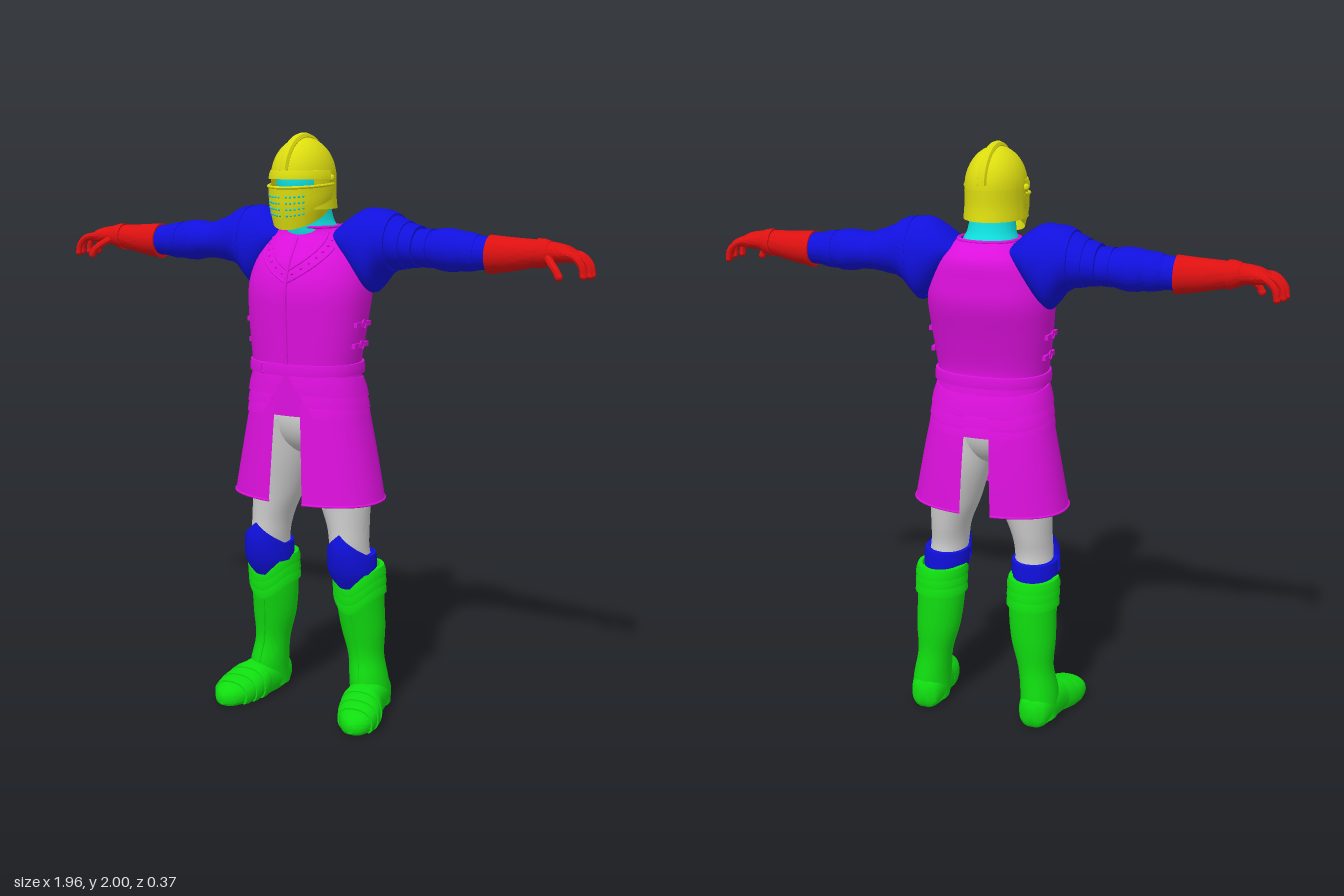
import * as THREE from 'three';
import { mergeGeometries, toCreasedNormals } from 'three/addons/utils/BufferGeometryUtils.js';

const GREY = 0xcccccc, BLUE = 0x1010dd, RED = 0xdd1010, GREEN = 0x10dd10, PURPLE = 0xdd10dd, YELLOW = 0xdddd10, CYAN = 0x10dddd;
const PI = Math.PI;

// A section is [t, centreX, centreZ, radiusX, radiusZ]; sections blend smoothly along t
function sample(rows, t) {
  let i = 0;
  while (i < rows.length - 2 && t > rows[i + 1][0]) i++;
  const a = rows[i], b = rows[i + 1], h = b[0] - a[0], u = (t - a[0]) / h;
  const slope = (j, c) => {
    const p = rows[Math.max(j - 1, 0)], q = rows[Math.min(j + 1, rows.length - 1)];
    return (q[c] - p[c]) / (q[0] - p[0]);
  };
  return a.map((v, c) => c === 0 ? t
    : v * (1 + 2 * u) * (1 - u) ** 2 + b[c] * u * u * (3 - 2 * u) + h * (slope(i, c) * u * (1 - u) ** 2 + slope(i + 1, c) * u * u * (u - 1)));
}

// Point on a rounded-box-like ring; angle 0 is the front
function ringPoint([t, cx, cz, rx, rz], a, p = 2) {
  const f = v => Math.sign(v) * Math.abs(v) ** (2 / p);
  return new THREE.Vector3(cx + rx * f(Math.sin(a)), t, cz + rz * f(Math.cos(a)));
}

function loft(rows, { sharp = false, n = 40, p = 2, range = null, warp = null, cap = false } = {}) {
  const list = [];
  if (sharp) list.push(...rows);
  else {
    for (let i = 0; i < rows.length - 1; i++)
      for (let k = 0; k < 4; k++) list.push(sample(rows, rows[i][0] + (rows[i + 1][0] - rows[i][0]) * k / 4));
    list.push(rows[rows.length - 1]);
  }
  const pos = [], idx = [], m = range ? n + 1 : n;
  for (const r of list) {
    const [a0, a1] = range ? range(r[0]) : [-PI, PI];
    for (let j = 0; j < m; j++) {
      const a = a0 + (a1 - a0) * j / n, v = ringPoint(r, a, p);
      if (warp) warp(v, a);
      pos.push(v.x, v.y, v.z);
    }
  }
  for (let i = 0; i < list.length - 1; i++)
    for (let j = 0; j < n; j++) {
      const k = (j + 1) % m, a = i * m + j, b = i * m + k, c = a + m, d = b + m;
      idx.push(a, b, d, a, d, c);
    }
  if (cap) for (const e of [0, list.length - 1]) {
    const r = list[e], id = pos.length / 3;
    pos.push(r[1], r[0], r[2]);
    for (let j = 0; j < n; j++) {
      const a = e * m + j, b = e * m + (j + 1) % m;
      e ? idx.push(id, a, b) : idx.push(id, b, a);
    }
  }
  const g = new THREE.BufferGeometry();
  g.setAttribute('position', new THREE.Float32BufferAttribute(pos, 3));
  g.setIndex(idx);
  return g;
}

// Raised plate hugging a lofted surface between t0 and t1
function lame(rows, t0, t1, g0, g1, o = {}) {
  const at = (t, g, dt = 0) => { const r = sample(rows, t); return [t + dt, r[1], r[2], r[3] + g, r[4] + g]; };
  return loft([at(t0, -0.012, 0.001), at(t0, g0), at((t0 + t1) / 2, (g0 + g1) / 2 + 0.002), at(t1, g1), at(t1, -0.012, 0.001)], { ...o, sharp: true });
}

const tube = (pts, r, seg = 24) => new THREE.TubeGeometry(new THREE.CatmullRomCurve3(pts), seg, r, 8);
const dots = (pts, r) => mergeGeometries(pts.map(p => new THREE.SphereGeometry(r, 8, 6).translate(p.x, p.y, p.z)));
const steps = (n, f) => Array.from({ length: n }, (_, i) => f(i / (n - 1)));
const V = (x, y, z) => new THREE.Vector3(x, y, z);

export function createModel() {
  const model = new THREE.Group();
  const add = (name, geo, color) => {
    const mesh = new THREE.Mesh(toCreasedNormals(geo, 0.7), new THREE.MeshStandardMaterial({ color, side: THREE.DoubleSide }));
    mesh.name = name;
    model.add(mesh);
  };
  const pair = (name, geo, color) => {
    const m = geo.clone().scale(-1, 1, 1), ix = m.index.array;
    for (let i = 0; i < ix.length; i += 3) [ix[i], ix[i + 1]] = [ix[i + 1], ix[i]];
    add(name + 'Left', geo, color);
    add(name + 'Right', m, color);
  };

  // Body under the armour
  add('pelvis', new THREE.SphereGeometry(1, 32, 20).scale(0.16, 0.13, 0.115).translate(0, 1.05, 0), GREY);
  pair('leg', loft([[0.5, 0.165, -0.03, 0.07, 0.075], [0.6, 0.158, 0, 0.065, 0.08], [0.68, 0.15, -0.005, 0.07, 0.085],
    [0.78, 0.13, -0.01, 0.09, 0.093], [0.92, 0.105, -0.01, 0.1, 0.11], [1.05, 0.095, 0, 0.09, 0.115]], { cap: true }), GREY);
  add('neck', loft([[1.63, 0, -0.03, 0.11, 0.1], [1.69, 0, -0.01, 0.092, 0.09], [1.72, 0, 0, 0.08, 0.082], [1.8, 0, 0.02, 0.07, 0.08]]), CYAN);
  add('head', new THREE.SphereGeometry(1, 28, 20).scale(0.085, 0.11, 0.105).translate(0, 1.84, 0.04), CYAN);

  // Breastplate and backplate
  const torso = [[1.21, 0, 0.016, 0.185, 0.14], [1.27, 0, 0.018, 0.193, 0.14], [1.4, 0, 0.006, 0.207, 0.159], [1.5, 0, -0.007, 0.211, 0.172],
    [1.58, 0, -0.018, 0.19, 0.158], [1.64, 0, -0.035, 0.155, 0.135], [1.68, 0, -0.033, 0.118, 0.105], [1.7, 0, -0.018, 0.095, 0.092]];
  const onTorso = (y, a) => ringPoint(sample(torso, y), a, 2.3);
  add('cuirass', loft(torso, { n: 64, p: 2.3 }), PURPLE);
  add('centreRidge', tube(steps(12, u => onTorso(1.25 + 0.41 * u, 0)), 0.006), PURPLE);
  for (const [low, rise] of [[1.52, 0.11], [1.56, 0.12]])
    add('chestTrim', tube(steps(25, u => onTorso(low + rise * Math.abs(2 * u - 1), (2 * u - 1) * 0.85)), 0.004, 60), PURPLE);
  add('chestRivets', dots(steps(14, u => onTorso(1.54 + 0.115 * Math.abs(2 * u - 1), (2 * u - 1) * 0.85)), 0.005), PURPLE);
  add('collarRim', tube(steps(33, u => onTorso(1.695, u * 2 * PI)), 0.005, 48), PURPLE);
  for (const y of [1.31, 1.38]) {
    const x = onTorso(y, PI / 2).x;
    pair('sideStrap', new THREE.BoxGeometry(0.012, 0.016, 0.1).translate(x, y, 0.01), PURPLE);
    pair('sideBuckle', new THREE.TorusGeometry(0.014, 0.003, 6, 16).rotateY(PI / 2).translate(x + 0.006, y, 0.01), PURPLE);
  }

  // Belt
  add('belt', lame([[1.2, 0, 0.016, 0.19, 0.142], [1.26, 0, 0.016, 0.19, 0.142]], 1.213, 1.25, 0.009, 0.007, { n: 64, p: 2.3 }), PURPLE);
  add('beltBuckle', new THREE.TorusGeometry(0.02, 0.004, 6, 4).rotateZ(PI / 4).translate(-0.085, 1.232, 0.155), PURPLE);

  // Overlapping waist plates parted in front, and the slit skirt
  const hips = [[1.02, 0, 0.004, 0.208, 0.15], [1.12, 0, 0.006, 0.2, 0.145], [1.24, 0, 0.014, 0.185, 0.14]];
  for (const [y0, y1] of [[1.075, 1.125], [1.11, 1.165], [1.15, 1.215]])
    add('waistPlate', lame(hips, y0, y1, 0.014, 0.005, {
      n: 72, p: 2.3,
      range: y => { const g = Math.max(0.02, (1.215 - y) * 3); return [g, 2 * PI - g]; },
      warp: (v, a) => { v.y -= 0.014 * (1 - Math.cos(a)); },
    }), PURPLE);
  add('skirtTop', loft([[1.075, 0, 0.003, 0.206, 0.151], [1.14, 0, 0.008, 0.197, 0.146], [1.22, 0, 0.014, 0.185, 0.14]], { n: 64, p: 2.3 }), PURPLE);
  const skirt = [[0.78, 0, 0, 0.272, 0.172], [0.95, 0, 0, 0.239, 0.164], [1.12, 0, 0.004, 0.204, 0.151]];
  pair('skirtPanel', loft(skirt, { p: 2.3, range: () => [0.19, PI - 0.16] }), PURPLE);
  pair('skirtHem', tube(steps(30, u => ringPoint(skirt[0], 0.19 + (PI - 0.35) * u, 2.3)), 0.004, 48), PURPLE);

  // Helmet: skull, nape, visor with an eye slit, brow and comb
  const dome = steps(14, u => [1.855 + 0.13 * Math.sin(u * PI / 2), 0, 0.04, 0.1 * Math.cos(u * PI / 2), 0.13 * Math.cos(u * PI / 2)]);
  add('helmetSkull', loft(dome, { sharp: true, n: 48 }), YELLOW);
  add('helmetNape', loft([[1.755, 0, 0.04, 0.103, 0.136], [1.8, 0, 0.04, 0.1, 0.13], [1.856, 0, 0.04, 0.1, 0.13]],
    { range: () => [0.95, 2 * PI - 0.95] }), YELLOW);
  const visor = [[1.69, 0, 0.05, 0.088, 0.115], [1.76, 0, 0.046, 0.102, 0.133], [1.825, 0, 0.045, 0.104, 0.138]];
  const lift = (v, a) => { v.y += 0.05 * (1 - Math.cos(a)) * (1.855 - v.y) / 0.165; return v; };
  add('visor', loft(visor, { range: () => [-1.7, 1.7], warp: lift }), YELLOW);
  add('visorRim', tube(steps(24, u => { const a = 3.4 * u - 1.7; return lift(ringPoint(visor[2], a), a); }), 0.005, 40), YELLOW);
  add('brow', lame([[1.84, 0, 0.04, 0.1, 0.13], [1.89, 0, 0.04, 0.097, 0.126]], 1.852, 1.88, 0.008, 0.003, { range: () => [-1.55, 1.55] }), YELLOW);
  add('comb', tube(steps(20, u => V(0, 1.86 + 0.126 * Math.sin(0.15 + u * 2.9), 0.04 + 0.134 * Math.cos(0.15 + u * 2.9))), 0.014, 40).scale(1.1, 1, 1), YELLOW);
  pair('visorPivot', new THREE.SphereGeometry(0.012, 12, 8).translate(0.102, 1.855, 0.04), YELLOW);
  const holes = [];
  for (let i = 0; i < 4; i++) for (let j = 0; j < 5; j++) {
    const a = 0.13 + j * 0.13;
    holes.push(lift(ringPoint(sample(visor, 1.735 + i * 0.02), a), a));
  }
  pair('breathHoles', dots(holes, 0.004), CYAN);

  // Arms: rows are [x, y, z, radiusY, radiusZ]
  const arm = rows => rows.map(([x, y, z, ry, rz]) => [x, -y, z, ry, rz]);
  const toX = g => g.rotateZ(-PI / 2);
  const shoulder = arm([[0.1, 1.66, -0.04, 0.03, 0.075], [0.14, 1.65, -0.043, 0.075, 0.098], [0.19, 1.63, -0.044, 0.125, 0.11],
    [0.23, 1.62, -0.045, 0.138, 0.112], [0.28, 1.648, -0.046, 0.096, 0.105], [0.33, 1.642, -0.048, 0.073, 0.093], [0.4, 1.635, -0.05, 0.055, 0.072]]);
  const sleeve = arm([[0.36, 1.633, -0.05, 0.06, 0.076], [0.42, 1.633, -0.05, 0.056, 0.07], [0.49, 1.63, -0.05, 0.06, 0.068],
    [0.57, 1.627, -0.044, 0.056, 0.06], [0.64, 1.625, -0.042, 0.052, 0.056]]);
  pair('pauldron', toX(loft(shoulder, { cap: true })), BLUE);
  for (const [x0, x1] of [[0.25, 0.3], [0.295, 0.345], [0.335, 0.385]])
    pair('pauldronPlate', toX(lame(shoulder, x0, x1, 0.002, 0.009)), BLUE);
  pair('sleeve', toX(loft(sleeve, { cap: true })), BLUE);
  for (const [x0, x1, a, b] of [[0.385, 0.43, 0.002, 0.007], [0.43, 0.48, 0.003, 0.01], [0.48, 0.54, 0.01, 0.004], [0.54, 0.59, 0.006, 0.002]])
    pair('elbowPlate', toX(lame(sleeve, x0, x1, a, b)), BLUE);

  // Gauntlets with curled fingers
  const cuff = arm([[0.63, 1.622, -0.042, 0.062, 0.063], [0.7, 1.625, -0.04, 0.054, 0.055], [0.79, 1.632, -0.036, 0.042, 0.044],
    [0.85, 1.636, -0.032, 0.032, 0.04], [0.89, 1.633, -0.028, 0.026, 0.048], [0.92, 1.626, -0.027, 0.015, 0.046]]);
  pair('gauntlet', toX(loft(cuff, { cap: true })), RED);
  pair('wristPlate', toX(lame(cuff, 0.79, 0.83, 0.005, 0.002)), RED);
  const finger = (pts, r) => mergeGeometries([tube(pts, r, 14), new THREE.SphereGeometry(r, 10, 8).translate(...pts[pts.length - 1].toArray())]);
  [[-0.066, -0.018], [-0.038, -0.004], [-0.011, 0], [0.013, -0.01]].forEach(([z, dx], i) => {
    const s = (i - 1.5) * 0.006;
    pair('finger', finger([V(0.895, 1.635, z), V(0.935 + dx, 1.628, z + s), V(0.96 + dx, 1.603, z + 1.5 * s), V(0.967 + dx, 1.572, z + 1.5 * s)], 0.011), RED);
  });
  pair('thumb', finger([V(0.83, 1.625, -0.005), V(0.855, 1.605, 0.025), V(0.875, 1.585, 0.038), V(0.885, 1.568, 0.04)], 0.012), RED);

  // Knee guards: a strap round the leg and a pointed plate in front
  const knee = [[0.46, 0.168, -0.005, 0.06, 0.055], [0.52, 0.167, -0.005, 0.082, 0.088], [0.57, 0.166, -0.005, 0.084, 0.102],
    [0.62, 0.165, -0.002, 0.078, 0.103], [0.67, 0.164, 0, 0.07, 0.09]];
  pair('kneePlate', loft(knee, { range: y => { const w = y > 0.57 ? 1.6 * (0.67 - y) / 0.1 : 0.15 + 1.45 * (y - 0.46) / 0.11; return [-w, w]; } }), BLUE);
  pair('kneeStrap', lame([[0.5, 0.167, -0.018, 0.078, 0.082], [0.6, 0.163, -0.012, 0.073, 0.08]], 0.52, 0.585, 0.002, 0.005), BLUE);

  // Greaves with pointed plates at the top
  const shin = [[0.02, 0.207, -0.08, 0.066, 0.076], [0.1, 0.205, -0.066, 0.066, 0.083], [0.2, 0.191, -0.068, 0.062, 0.068],
    [0.3, 0.18, -0.064, 0.078, 0.077], [0.4, 0.173, -0.055, 0.083, 0.087], [0.5, 0.172, -0.046, 0.083, 0.094], [0.53, 0.171, -0.043, 0.083, 0.094]];
  pair('greave', loft(shin), GREEN);
  pair('greaveRidge', tube(steps(10, u => ringPoint(sample(shin, 0.12 + 0.28 * u), 0)), 0.004), GREEN);
  for (const y of [0.435, 0.468, 0.5])
    pair('greavePlate', lame(shin, y, y + 0.034, 0.009, 0.003, { warp: (v, a) => { v.y -= 0.06 * Math.max(0, Math.cos(a)) ** 3; } }), GREEN);

  // Feet: rows are [z, x, -y, radiusX, radiusY], flattened at the sole
  const foot = [[-0.16, 0.205, -0.045, 0.02, 0.03], [-0.145, 0.205, -0.05, 0.048, 0.055], [-0.08, 0.208, -0.055, 0.066, 0.068],
    [0, 0.22, -0.052, 0.07, 0.068], [0.07, 0.238, -0.04, 0.075, 0.055], [0.13, 0.25, -0.03, 0.062, 0.044],
    [0.165, 0.254, -0.025, 0.04, 0.032], [0.18, 0.256, -0.022, 0.014, 0.016]];
  const toZ = g => g.rotateX(PI / 2);
  const flat = v => { v.z = Math.min(v.z, 0); };
  pair('foot', toZ(loft(foot, { p: 2.3, cap: true, warp: flat })), GREEN);
  for (const z of [0.01, 0.05, 0.09])
    pair('footPlate', toZ(lame(foot, z, z + 0.042, 0.001, 0.006, { p: 2.3, warp: flat })), GREEN);

  return model;
}
